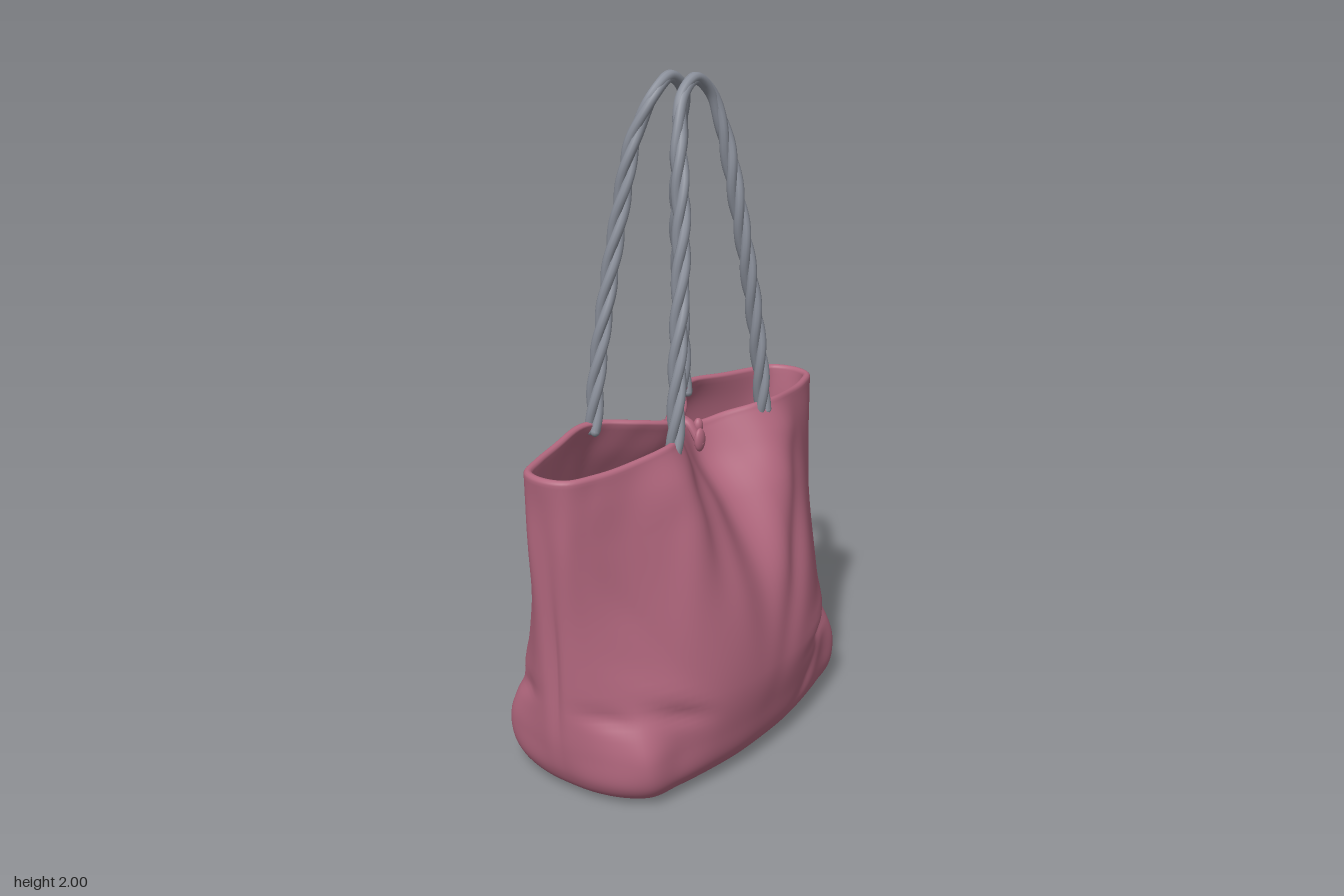
import * as THREE from 'three';

const V = (x, y, z) => new THREE.Vector3(x, y, z);
const { smoothstep, lerp } = THREE.MathUtils;
const N = 168; // points around the bag
const WALL = 0.024;

// Quarter outlines, front centre to side centre, at rising heights
const WALLS = [
  [0.07, [[0, .332], [.13, .328], [.26, .31], [.38, .285], [.475, .26], [.525, .195], [.555, .1], [.562, 0]]],
  [0.16, [[0, .352], [.13, .347], [.26, .325], [.38, .288], [.49, .26], [.535, .19], [.567, .1], [.584, 0]]],
  [0.3, [[0, .366], [.13, .361], [.25, .335], [.37, .282], [.475, .215], [.535, .145], [.577, .075], [.594, 0]]],
  [0.55, [[0, .305], [.13, .325], [.25, .305], [.37, .245], [.475, .175], [.55, .11], [.592, .055], [.598, 0]]],
  [0.78, [[0, .17], [.12, .228], [.22, .256], [.33, .222], [.46, .16], [.56, .105], [.608, .06], [.608, 0]]],
  [0.9, [[0, .078], [.11, .137], [.2, .197], [.29, .207], [.43, .155], [.545, .112], [.607, .068], [.618, 0]]],
  [0.985, [[0, .04], [.1, .075], [.19, .143], [.27, .166], [.4, .144], [.52, .114], [.605, .075], [.63, 0]]],
];
// The rounded bottom edge draws in the lowest outline
const drawnIn = (y, sx, sz) => [y, WALLS[0][1].map(([x, z]) => [x * sx, z * sz])];
const LEVELS = [drawnIn(0, .83, .72), drawnIn(.02, .94, .89), ...WALLS];

// Soft dents in the cloth: [across, height, length, width, angle, depth]
const FACE_DENTS = [
  [-.17, .82, .22, .05, 1.5, -.016], [-.28, .75, .25, .05, 1.4, .01],
  [.2, .62, .28, .05, 1.1, -.018], [.1, .66, .25, .05, 1.25, .01],
  [.36, .26, .11, .025, .05, -.018], [.34, .32, .13, .04, .15, .012],
  [-.38, .27, .08, .025, -.35, -.016], [-.42, .34, .12, .04, -.5, .01],
  [.25, .17, .12, .03, .7, -.009], [-.45, .55, .2, .03, -1.1, -.009],
];
const SIDE_DENTS = [
  [.16, .29, .07, .025, -.3, -.016], [-.15, .28, .07, .025, .25, -.016],
  [0, .4, .22, .02, 1.57, -.018],
];

function dent(list, u, y) {
  let d = 0;
  for (const [cu, cy, len, wid, ang, depth] of list) {
    const c = Math.cos(ang), s = Math.sin(ang);
    const a = ((u - cu) * c + (y - cy) * s) / len;
    const b = ((y - cy) * c - (u - cu) * s) / wid;
    d += depth * Math.exp(-a * a - b * b);
  }
  return d;
}

// Full closed outline from a quarter, sampled evenly by parameter
function outline([y, q]) {
  const right = [...q, ...q.slice(0, -1).reverse().map(([x, z]) => [x, -z])];
  const left = right.slice(1, -1).reverse().map(([x, z]) => [-x, z]);
  const curve = new THREE.CatmullRomCurve3([...right, ...left].map(([x, z]) => V(x, y, z)), true);
  return Array.from({ length: N }, (_, i) => curve.getPoint(i / N));
}

// Outward horizontal normals of a loop
const loopNormals = (row) => row.map((_, i) => {
  const a = row[(i + N - 1) % N], b = row[(i + 1) % N];
  return V(-(b.z - a.z), 0, b.x - a.x).normalize();
});

function bagGeometry() {
  const loops = LEVELS.map(outline);
  const columns = loops[0].map((_, i) => new THREE.CatmullRomCurve3(loops.map((l) => l[i])));
  const STEPS = 72;
  const outer = [];
  for (let j = 0; j <= STEPS; j++) {
    const row = columns.map((c) => c.getPoint(j / STEPS));
    const nor = loopNormals(row);
    outer.push(row.map((p, i) => {
      const n = nor[i], u = p.x * Math.sign(n.z);
      const fade = smoothstep(p.y, 0.02, 0.12) * (1 - smoothstep(p.y, 0.85, 0.98));
      const d = dent(FACE_DENTS, u, p.y) * n.z * n.z
        + dent(SIDE_DENTS, p.z * Math.sign(n.x), p.y) * n.x * n.x;
      const r = p.clone().addScaledVector(n, d * fade);
      // Wavy mouth that sags at the closure
      const w = 0.02 * Math.exp(-(((Math.abs(p.x) - .25) / .15) ** 2)) - 0.022 * Math.exp(-(((p.x - .04) / .1) ** 2));
      r.y += w * smoothstep(p.y, 0.5, 1);
      return r;
    }));
  }
  const inset = (row, d, dy) => {
    const nor = loopNormals(row);
    return row.map((p, i) => p.clone().addScaledVector(nor[i], -d).setY(p.y + dy));
  };
  const shrink = (row, s, y) => row.map((p) => V(p.x * s, y, p.z * s));

  // Floor, outside wall, rolled rim, inside wall, inside floor
  const rows = [0, .4, .8, .95].map((s) => shrink(outer[0], s, 0));
  rows.push(...outer);
  const rim = outer[STEPS];
  for (let k = 1; k < 6; k++) {
    const a = Math.PI * k / 6;
    rows.push(inset(rim, WALL / 2 * (1 - Math.cos(a)), WALL / 2 * Math.sin(a)));
  }
  for (let j = STEPS; j >= 14; j -= 2) rows.push(inset(outer[j], WALL, 0));
  const low = rows[rows.length - 1];
  for (const s of [.9, .5, 0]) rows.push(shrink(low, s, 0.025));

  const index = [];
  for (let j = 0; j < rows.length - 1; j++) {
    for (let i = 0; i < N; i++) {
      const a = j * N + i, b = j * N + (i + 1) % N;
      index.push(a, b, b + N, a, b + N, a + N);
    }
  }
  const geo = new THREE.BufferGeometry().setFromPoints(rows.flat());
  geo.setIndex(index);
  geo.computeVertexNormals();
  return geo;
}

// One handle: three strands twisted around an arched path
function makeHandle(name, side, topZ, mat) {
  const group = new THREE.Group();
  group.name = name;
  const leg = [[.222, .985, .146], [.213, 1.1, .144], [.19, 1.28, .134], [.158, 1.48, .12],
    [.132, 1.65, .102], [.107, 1.82, .077], [.066, 1.94, topZ + .004]];
  const points = [
    ...leg.map(([x, y, z]) => V(-x, y, z * side)),
    V(0, 1.981, topZ * side),
    ...leg.slice().reverse().map(([x, y, z]) => V(x, y, z * side)),
  ];
  const path = new THREE.CatmullRomCurve3(points);
  const depth = V(0, 0, 1);
  for (let k = 0; k < 3; k++) {
    const strand = [];
    for (let i = 0; i <= 140; i++) {
      const t = i / 140;
      const p = path.getPointAt(t), tan = path.getTangentAt(t);
      const e1 = tan.clone().cross(depth).normalize(), e2 = tan.clone().cross(e1);
      const r = lerp(.004, .0125, smoothstep(Math.abs(t - .5) * 2, .05, .3));
      const a = Math.PI * 2 * (k / 3 + t * 6);
      strand.push(p.addScaledVector(e1, r * Math.cos(a)).addScaledVector(e2, r * Math.sin(a)));
    }
    const tube = new THREE.Mesh(new THREE.TubeGeometry(new THREE.CatmullRomCurve3(strand), 260, .0145, 10), mat);
    tube.name = 'handleStrand';
    group.add(tube);
    for (const end of [strand[0], strand[140]]) {
      const cap = new THREE.Mesh(new THREE.SphereGeometry(.0145, 10, 8), mat);
      cap.name = 'strandEnd';
      cap.position.copy(end);
      group.add(cap);
    }
  }
  return group;
}

// Closure: a strap across the mouth with a tab hanging on each face
function makeClosure(mat) {
  const group = new THREE.Group();
  group.name = 'closure';
  const strap = new THREE.CatmullRomCurve3([V(0, .93, -.066), V(0, .985, -.03),
    V(0, .98, 0), V(0, .985, .03), V(.006, .92, .072)]);
  const band = new THREE.Mesh(new THREE.TubeGeometry(strap, 40, .011, 10), mat);
  band.name = 'closureStrap';
  band.scale.x = 1.6;
  group.add(band);
  const knob = (name, x, y, z, sx, sy, sz) => {
    const m = new THREE.Mesh(new THREE.SphereGeometry(1, 20, 14), mat);
    m.name = name;
    m.position.set(x, y, z);
    m.scale.set(sx, sy, sz);
    group.add(m);
  };
  knob('closureTab', .008, .935, .068, .022, .036, .013);
  knob('closureFold', .022, .972, .052, .016, .024, .014);
  knob('closureKnot', 0, .975, .005, .04, .022, .024);
  knob('closureBackTab', 0, .945, -.062, .018, .028, .012);
  return group;
}

export function createModel() {
  const cloth = new THREE.MeshStandardMaterial({ color: 0xb3687f });
  cloth.name = 'rose cloth';
  const rope = new THREE.MeshStandardMaterial({ color: 0x8a8f9a });
  rope.name = 'grey rope';

  const model = new THREE.Group();
  model.name = 'toteBag';
  const body = new THREE.Mesh(bagGeometry(), cloth);
  body.name = 'bagBody';
  model.add(body, makeClosure(cloth));
  model.add(makeHandle('frontHandle', 1, .053, rope), makeHandle('backHandle', -1, .033, rope));
  return model;
}
